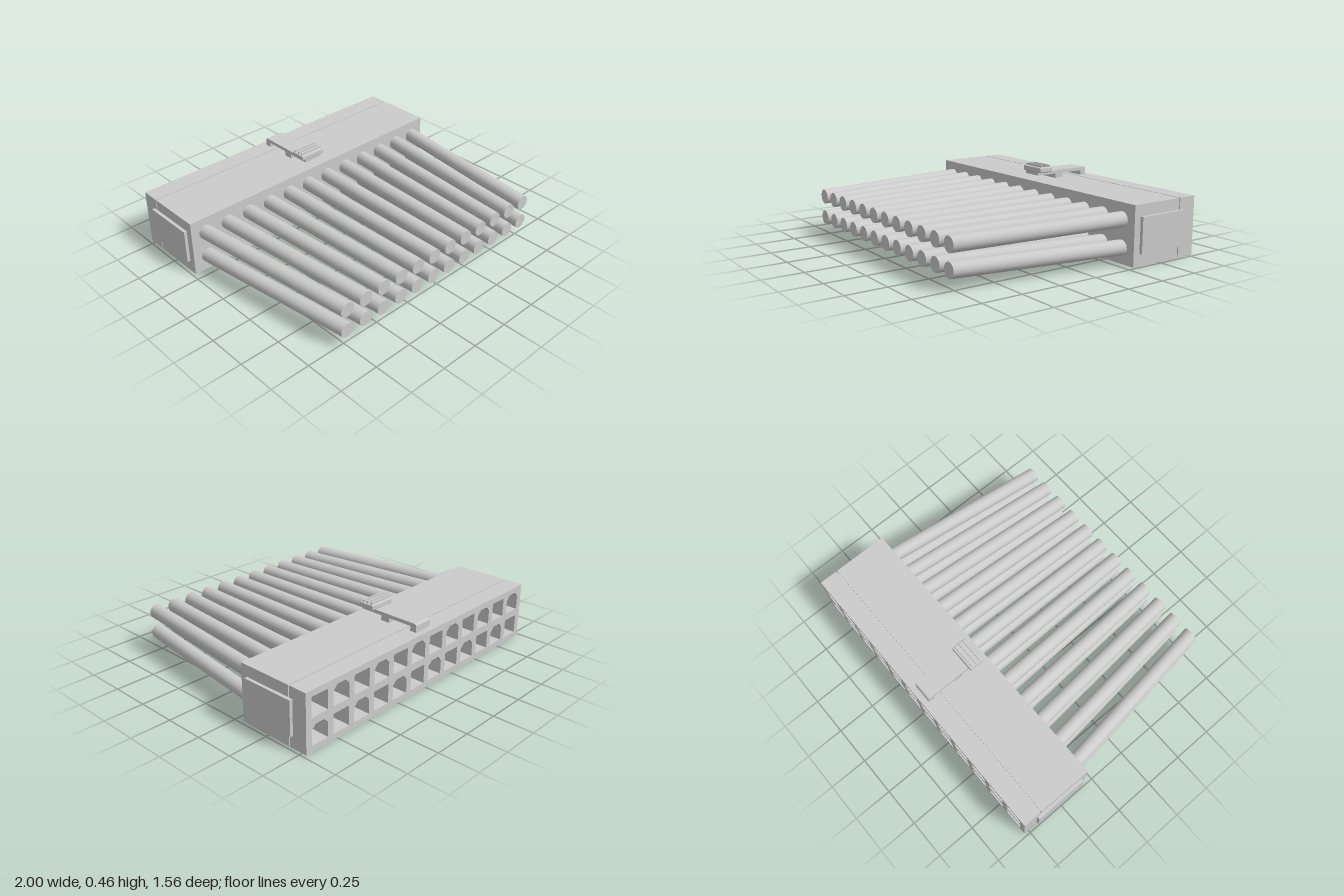
import * as THREE from 'three';
import { RoundedBoxGeometry } from 'three/addons/geometries/RoundedBoxGeometry.js';

const COLUMNS = 12, PITCH = 0.16, ROWS = [0.0975, 0.2625];
const columnX = i => (i - (COLUMNS - 1) / 2) * PITCH;

export function createModel() {
  const model = new THREE.Group();
  model.name = 'wiredConnector';
  const material = new THREE.MeshStandardMaterial({ color: 0xcccccc });

  function add(name, geometry, parent = model) {
    const mesh = new THREE.Mesh(geometry, material);
    mesh.name = name;
    parent.add(mesh);
    return mesh;
  }
  function box(name, x0, x1, y0, y1, z0, z1, parent, round = 0) {
    const size = [x1 - x0, y1 - y0, z1 - z0];
    const geometry = round ? new RoundedBoxGeometry(...size, 2, round) : new THREE.BoxGeometry(...size);
    geometry.translate((x0 + x1) / 2, (y0 + y1) / 2, (z0 + z1) / 2);
    return add(name, geometry, parent);
  }

  // Socket outline: square, or with two cut upper corners
  function socket(x, y, keyed) {
    const r = 0.06, c = keyed ? 0.03 : 0.006;
    return new THREE.Path([
      [-r, -r], [r, -r], [r, r - c], [r - c, r], [-r + c, r], [-r, r - c],
    ].map(([a, b]) => new THREE.Vector2(x + a, y + b)).reverse());
  }

  // Housing slice with all the sockets passing through it
  function slice(name, z0, z1, inset) {
    const w = 0.98 - inset, lo = inset, hi = 0.36 - inset;
    const shape = new THREE.Shape([[-w, lo], [w, lo], [w, hi], [-w, hi]].map(p => new THREE.Vector2(...p)));
    ROWS.forEach((y, row) => {
      for (let i = 0; i < COLUMNS; i++) shape.holes.push(socket(columnX(i), y, (i + row) % 2 === 1));
    });
    const geometry = new THREE.ExtrudeGeometry(shape, { depth: z1 - z0, bevelEnabled: false });
    add(name, geometry.translate(0, 0, z0));
  }
  slice('socketBlock', -0.78, -0.662, 0);
  slice('seam', -0.662, -0.655, 0.008);
  slice('housing', -0.655, -0.45, 0);
  box('housingFront', -0.98, 0.98, 0, 0.36, -0.45, -0.3);

  // Raised panels on both ends
  for (const [name, s] of [['leftPanel', 1], ['rightPanel', -1]])
    box(name, s * 0.985 - 0.015, s * 0.985 + 0.015, 0.075, 0.29, -0.685, -0.345);

  // Wires converging toward their free ends, with ends cut square to z
  const wires = new THREE.Group();
  wires.name = 'wires';
  model.add(wires);
  const z0 = -0.31, z1 = 0.78;
  ROWS.forEach((y, row) => {
    for (let i = 0; i < COLUMNS; i++) {
      const geometry = new THREE.CylinderGeometry(0.046, 0.046, z1 - z0, 24);
      geometry.rotateX(Math.PI / 2).translate(0, 0, (z0 + z1) / 2);
      const x = columnX(i), endY = row ? 0.25 : 0.112, dx = -0.15 * x, dy = endY - y;
      const p = geometry.attributes.position;
      for (let k = 0; k < p.count; k++) {
        const t = (p.getZ(k) - z0) / (z1 - z0);
        p.setXY(k, p.getX(k) + x + dx * t, p.getY(k) + y + dy * t);
      }
      geometry.computeVertexNormals();
      add('wire', geometry, wires);
    }
  });

  // Latch: bent arm, pivot and ribbed thumb grip
  const latch = new THREE.Group();
  latch.name = 'latch';
  model.add(latch);
  const arm = new THREE.Shape();
  arm.moveTo(0.34, 0.39);
  arm.lineTo(0.7, 0.39);
  arm.lineTo(0.7, 0.355);
  arm.lineTo(0.742, 0.355);
  arm.lineTo(0.742, 0.395);
  arm.quadraticCurveTo(0.742, 0.412, 0.725, 0.412);
  arm.lineTo(0.34, 0.412);
  const armGeometry = new THREE.ExtrudeGeometry(arm, { depth: 0.126, bevelEnabled: false });
  add('latchArm', armGeometry.translate(0, 0, -0.063).rotateY(Math.PI / 2), latch);
  box('latchPivot', -0.063, 0.063, 0.355, 0.395, -0.545, -0.485, latch);
  box('latchGrip', -0.088, 0.088, 0.408, 0.443, -0.44, -0.337, latch, 0.008);
  for (const z of [-0.36, -0.39, -0.42])
    box('gripRib', -0.08, 0.08, 0.44, 0.455, z - 0.005, z + 0.005, latch);

  return model;
}
